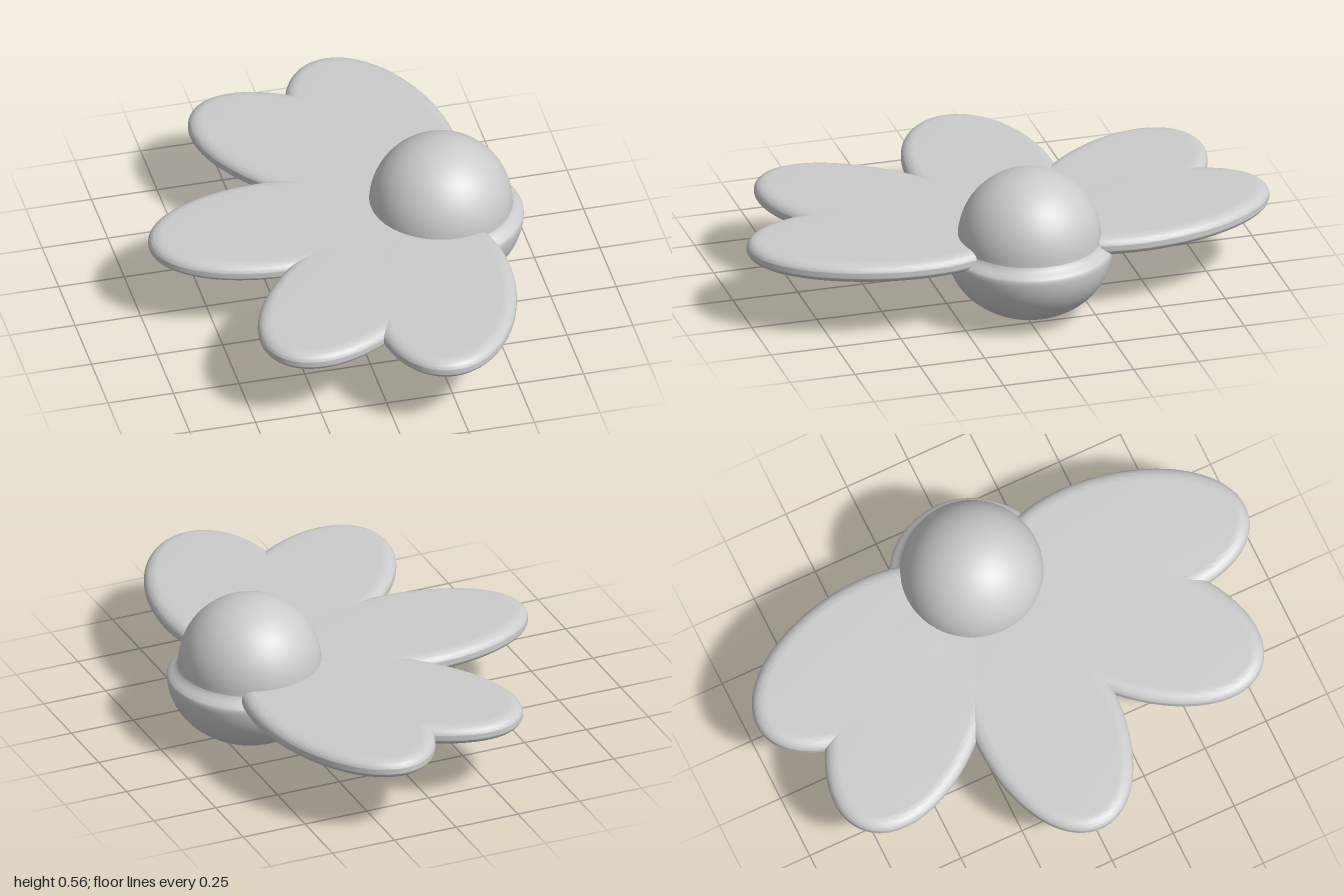
import * as THREE from 'three';
import { toCreasedNormals } from 'three/addons/utils/BufferGeometryUtils.js';

const material = new THREE.MeshStandardMaterial({ color: 0xcccccc });

// Flat elliptical petal with a rounded rim, long axis along x
function petalGeometry(halfLength, halfWidth) {
  const inset = 0.05;
  const shape = new THREE.Shape();
  shape.absellipse(0, 0, halfLength - inset, halfWidth - inset, 0, Math.PI * 2);
  const geometry = new THREE.ExtrudeGeometry(shape, {
    depth: 0.005, bevelThickness: 0.035, bevelSize: inset, bevelSegments: 10, curveSegments: 72,
  });
  geometry.translate(0, 0, -0.0025);
  geometry.rotateX(-Math.PI / 2);
  return toCreasedNormals(geometry, Math.PI / 3);
}

// Dome above a slightly wider bowl, joined by a small concave shoulder
function coreProfile() {
  const points = [];
  const steps = 28;
  for (let i = 0; i <= steps; i++) {
    const t = (i / steps) * Math.PI / 2;
    points.push(new THREE.Vector2(0.307 * Math.sin(t), 0.255 - 0.255 * Math.cos(t)));
  }
  points.push(
    new THREE.Vector2(0.302, 0.264),
    new THREE.Vector2(0.288, 0.275),
    new THREE.Vector2(0.274, 0.285),
    new THREE.Vector2(0.267, 0.297),
  );
  for (let i = 0; i <= steps; i++) {
    const t = (i / steps) * Math.PI / 2;
    points.push(new THREE.Vector2(0.266 * Math.cos(t), 0.3 + 0.265 * Math.sin(t)));
  }
  points[0].x = points[points.length - 1].x = 0;
  return points;
}

export function createModel() {
  const group = new THREE.Group();
  group.name = 'halfFlower';

  // Round centre
  const core = new THREE.Mesh(new THREE.LatheGeometry(coreProfile(), 72), material);
  core.name = 'flowerCentre';
  core.position.set(0.4, 0, -0.025);
  group.add(core);

  // Five petals fanned around one side: name, x, z, heading in degrees
  const petals = [
    ['frontPetal', 0.268, 0.527, 258],
    ['frontSidePetal', -0.06, 0.44, 225],
    ['sidePetal', -0.23, -0.025, 180],
    ['backSidePetal', 0, -0.48, 135],
    ['backPetal', 0.268, -0.527, 102],
  ];
  const geometry = petalGeometry(0.48, 0.275);
  for (const [name, x, z, heading] of petals) {
    const petal = new THREE.Mesh(geometry, material);
    petal.name = name;
    petal.position.set(x, 0.2825, z);
    petal.rotation.y = THREE.MathUtils.degToRad(heading);
    group.add(petal);
  }
  return group;
}
